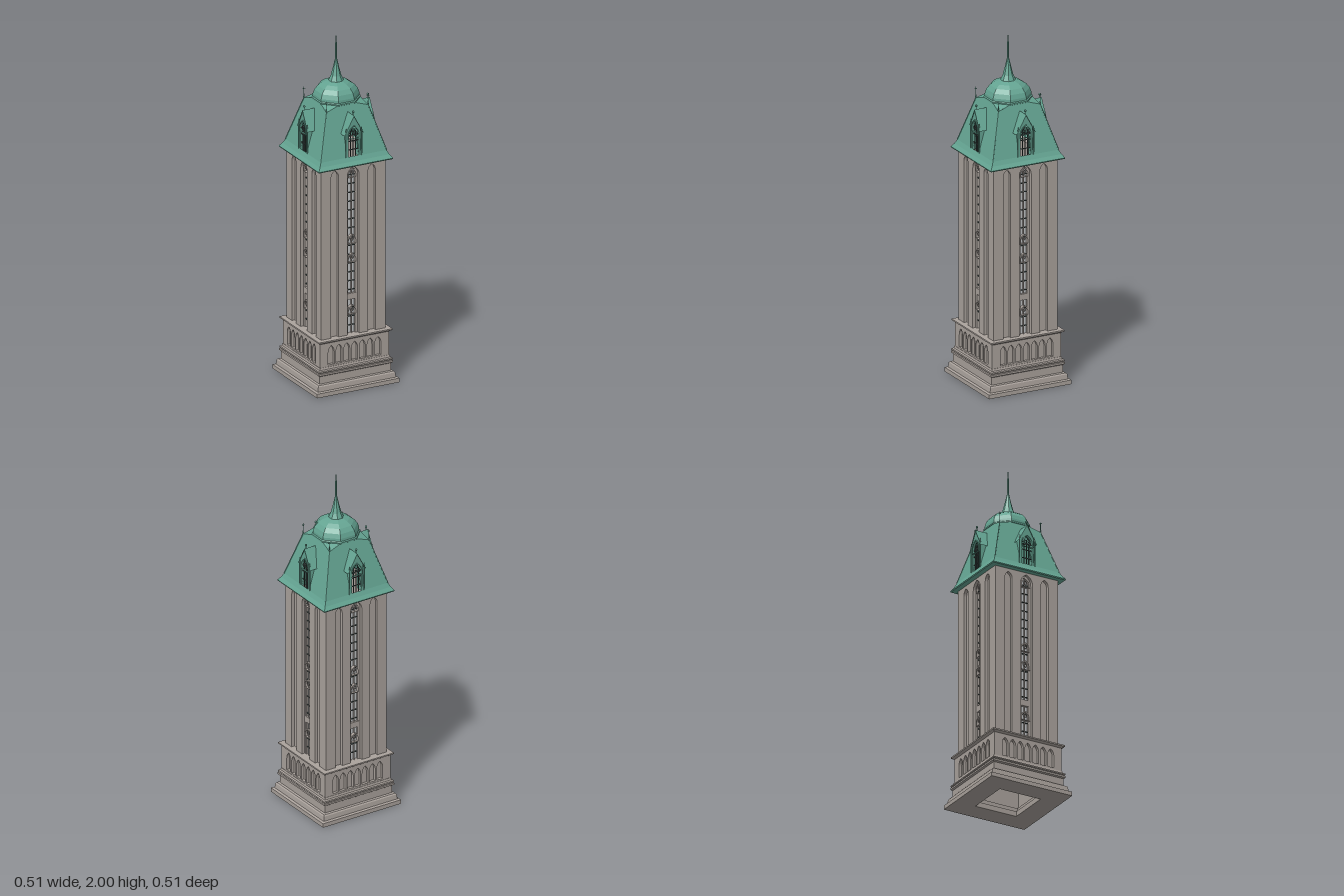
import * as THREE from 'three';

const mat = (color) => new THREE.MeshStandardMaterial({ color, flatShading: true, side: THREE.DoubleSide });
const stone = mat(0xaaa29c), copper = mat(0x64a492), iron = mat(0x3a4644), glass = mat(0xc0c3c5);
const V = (x, y) => new THREE.Vector2(x, y);

function add(parent, name, geometry, material, x = 0, y = 0, z = 0) {
  const m = new THREE.Mesh(geometry, material);
  m.name = name;
  m.position.set(x, y, z);
  parent.add(m);
  return m;
}

// n-sided turned solid whose flat sides face the axes; profile gives [apothem, y]
function prism(profile, n) {
  const k = 1 / Math.cos(Math.PI / n);
  return new THREE.LatheGeometry(profile.map(([r, y]) => V(r * k, y)), n).rotateY(Math.PI / n);
}

function box(parent, name, material, w, h, d, x, y, z) {
  return add(parent, name, new THREE.BoxGeometry(w, h, d), material, x, y, z);
}

// pointed-arch outline
function arch(cx, w, y0, spring, top, Type = THREE.Path) {
  const p = new Type();
  const c = spring + (top - spring) * 0.65;
  p.moveTo(cx - w, y0);
  p.lineTo(cx + w, y0);
  p.lineTo(cx + w, spring);
  p.quadraticCurveTo(cx + w, c, cx, top);
  p.quadraticCurveTo(cx - w, c, cx - w, spring);
  p.lineTo(cx - w, y0);
  return p;
}

const polygon = (pts) => new THREE.Shape(pts.map(([x, y]) => V(x, y)));
const rect = (w, y0, y1) => polygon([[-w, y0], [w, y0], [w, y1], [-w, y1]]);

// slab with holes, spanning z0..z1
function slab(shape, holes, z0, z1) {
  shape.holes.push(...holes);
  return new THREE.ExtrudeGeometry(shape, { depth: z1 - z0, bevelEnabled: false, curveSegments: 6 }).translate(0, 0, z0);
}

// narrow band that follows a pointed arch
function archBand(w, t, spring, top, z0, z1) {
  return slab(arch(0, w, spring - 0.02, spring, top, THREE.Shape),
    [arch(0, w - t, spring - 0.019, spring, top - t * 1.4)], z0, z1);
}

function triangles(pts) {
  const g = new THREE.BufferGeometry();
  g.setAttribute('position', new THREE.Float32BufferAttribute(pts.flat(), 3));
  g.computeVertexNormals();
  return g;
}

// blind arcade around the base
function arcadeSide() {
  const g = new THREE.Group();
  const holes = [];
  for (let i = -3; i <= 3; i++) holes.push(arch(i * 0.0485, 0.019, 0.165, 0.235, 0.275));
  add(g, 'blindArcade', slab(rect(0.215, 0.155, 0.296), holes, 0.198, 0.215), stone);
  return g;
}

// one wall of the shaft with its tall window and two niches
function shaftSide() {
  const g = new THREE.Group();
  const windowHole = (w) => arch(0, w, 0.305, 1.245, 1.262 + w);
  const niches = [-0.115, 0.115].map((x) => arch(x, 0.023, 0.305, 1.255, 1.293));
  add(g, 'shaftWall', slab(rect(0.2, 0.27, 1.312), [windowHole(0.037), ...niches], 0.182, 0.2), stone);
  add(g, 'innerWall', slab(rect(0.182, 0.27, 1.312), [windowHole(0.027)], 0.165, 0.182), stone);
  box(g, 'windowGlass', glass, 0.06, 0.99, 0.003, 0, 0.8, 0.167);
  for (const x of [-0.024, 0, 0.024]) box(g, 'mullion', stone, x ? 0.005 : 0.003, 0.96, 0.012, x, 0.785, 0.175);
  for (let y = 0.36; y < 1.26; y += 0.052) box(g, 'transom', iron, 0.052, 0.004, 0.006, 0, y, 0.176);
  for (const y of [0.445, 0.75, 0.86, 1.25]) {
    add(g, 'traceryArch', archBand(0.028, 0.006, y, y + 0.035, 0.172, 0.188), stone);
    add(g, 'traceryRing', new THREE.TorusGeometry(0.009, 0.0025, 5, 10), stone, 0, y + 0.008, 0.182);
  }
  box(g, 'windowPanel', stone, 0.056, 0.035, 0.014, 0, 0.53, 0.177);
  return g;
}

// roof slope with an opening behind the dormer, and the dormer itself
const slopeZ = (y) => 0.205 - (y - 1.36) * 0.294;

function roofSide() {
  const g = new THREE.Group();
  const face = polygon([[-0.205, 1.36], [0.205, 1.36], [0.13, 1.615], [0.051, 1.64], [-0.051, 1.64], [-0.13, 1.615]]);
  face.holes.push(rect(0.031, 1.362, 1.5));
  const geo = new THREE.ShapeGeometry(face);
  const p = geo.attributes.position;
  for (let i = 0; i < p.count; i++) p.setZ(i, slopeZ(p.getY(i)));
  geo.computeVertexNormals();
  add(g, 'roofSlope', geo, copper);

  // corner facet, hip roll and corner finial
  const c = 0.13, e = slopeZ(1.64);
  add(g, 'roofCornerFacet', triangles([[c, 1.615, c], [e, 1.64, 0.051], [0.051, 1.64, e]]), copper);
  const hip = new THREE.LineCurve3(new THREE.Vector3(0.205, 1.36, 0.205), new THREE.Vector3(c, 1.615, c));
  add(g, 'hipRoll', new THREE.TubeGeometry(hip, 1, 0.003, 6), copper);
  add(g, 'finialRod', new THREE.CylinderGeometry(0.0012, 0.0025, 0.07, 6), copper, c, 1.645, c);
  add(g, 'finialKnob', new THREE.SphereGeometry(0.005, 8, 6), copper, c, 1.622, c);
  box(g, 'finialArm', copper, 0.016, 0.002, 0.002, c, 1.668, c);
  box(g, 'finialArm', copper, 0.002, 0.002, 0.016, c, 1.668, c);

  // dormer front and cheeks
  const dormer = new THREE.Group();
  dormer.name = 'dormer';
  g.add(dormer);
  const gable = polygon([[-0.042, 1.335], [0.042, 1.335], [0.042, 1.52], [0, 1.597], [-0.042, 1.52]]);
  add(dormer, 'dormerFront', slab(gable, [arch(0, 0.032, 1.35, 1.485, 1.535)], 0.192, 0.205), copper);
  add(dormer, 'dormerArch', archBand(0.036, 0.005, 1.485, 1.542, 0.2, 0.209), copper);
  for (const s of [-1, 1]) {
    box(dormer, 'dormerCheek', copper, 0.006, 0.165, 0.045, s * 0.038, 1.437, 0.178);
    box(dormer, 'dormerPost', copper, 0.006, 0.15, 0.006, s * 0.048, 1.435, 0.206);
    add(dormer, 'dormerPostTip', new THREE.ConeGeometry(0.005, 0.025, 4), copper, s * 0.048, 1.522, 0.206);
    const ridgeBack = [0, 1.6, slopeZ(1.6)], ridge = [0, 1.6, 0.21];
    const eave = [s * 0.06, 1.49, 0.21], eaveBack = [s * 0.06, 1.49, slopeZ(1.49)];
    add(dormer, 'dormerRoof', triangles([ridgeBack, ridge, eave, ridgeBack, eave, eaveBack]), copper);
  }

  // dormer tracery
  for (const x of [-0.016, 0, 0.016]) box(dormer, 'dormerMullion', iron, 0.004, 0.16, 0.006, x, 1.43, 0.197);
  for (const y of [1.4, 1.45, 1.485]) box(dormer, 'dormerBar', iron, 0.064, 0.004, 0.005, 0, y, 0.197);
  for (const x of [-0.016, 0.016]) {
    add(dormer, 'dormerRing', new THREE.TorusGeometry(0.011, 0.002, 5, 10), iron, x, 1.488, 0.198);
  }
  add(dormer, 'dormerRing', new THREE.TorusGeometry(0.011, 0.002, 5, 10), iron, 0, 1.513, 0.198);

  // dormer finial
  add(dormer, 'dormerFinialStem', new THREE.CylinderGeometry(0.002, 0.003, 0.02, 6), copper, 0, 1.605, 0.198);
  add(dormer, 'dormerFinialBall', new THREE.SphereGeometry(0.007, 10, 8), copper, 0, 1.62, 0.198);
  return g;
}

export function createModel() {
  const model = new THREE.Group();
  model.name = 'belfryTower';

  // hollow stepped base
  add(model, 'base', prism([
    [0.13, 0.03], [0.13, 0], [0.257, 0], [0.257, 0.024], [0.243, 0.028], [0.24, 0.055], [0.234, 0.062],
    [0.222, 0.065], [0.222, 0.108], [0.231, 0.114], [0.231, 0.124], [0.226, 0.127], [0.23, 0.132],
    [0.229, 0.139], [0.22, 0.143], [0.217, 0.155], [0.198, 0.155], [0.198, 0.294], [0.215, 0.294],
    [0.222, 0.299], [0.229, 0.303], [0.229, 0.311], [0.165, 0.313], [0.165, 0.06], [0.148, 0.06],
    [0.148, 0.03], [0.13, 0.03],
  ], 4), stone);

  // four identical sides
  const sides = { arcadeSide, shaftSide, roofSide };
  for (const [name, build] of Object.entries(sides)) {
    for (let i = 0; i < 4; i++) {
      const side = build();
      side.name = name;
      side.rotation.y = i * Math.PI / 2;
      model.add(side);
    }
  }

  // flared eaves
  add(model, 'eaves', prism([[0.18, 1.31], [0.23, 1.31], [0.232, 1.316], [0.217, 1.336], [0.205, 1.36]], 4), copper);

  // eight-sided dome and spire
  add(model, 'dome', prism([
    [0.116, 1.63], [0.126, 1.637], [0.126, 1.645], [0.12, 1.65], [0.119, 1.665], [0.111, 1.69],
    [0.094, 1.713], [0.07, 1.73], [0.042, 1.741], [0, 1.744],
  ], 8), copper);
  add(model, 'spire', prism([
    [0.04, 1.738], [0.038, 1.744], [0.027, 1.77], [0.015, 1.82], [0.009, 1.85], [0.004, 1.872],
    [0.004, 1.96], [0.002, 1.975], [0.0015, 2], [0, 2],
  ], 8), copper);

  return model;
}
